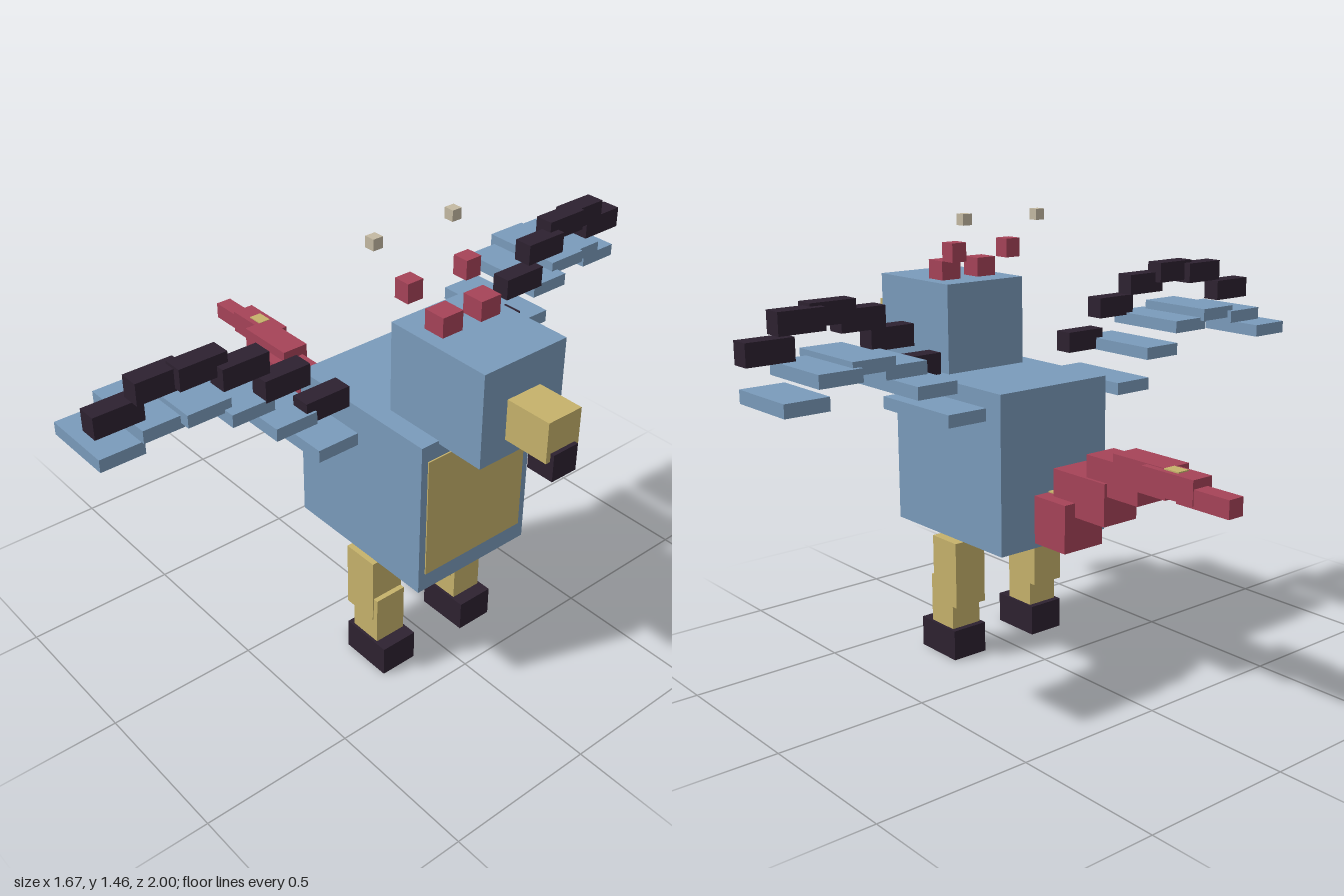
import * as THREE from 'three';

const mat = (name, color) => {
  const m = new THREE.MeshStandardMaterial({ color });
  m.name = name;
  return m;
};

export function createModel() {
  const blue = mat('feather blue', 0x7a9bbb);
  const gold = mat('gold', 0xc6b26b);
  const red = mat('red', 0xa64358);
  const dark = mat('dark plum', 0x2d2130);
  const bone = mat('bone', 0xc4b9a2);

  const model = new THREE.Group();
  model.name = 'bird';

  // Box given by its extents along each axis
  const box = (parent, name, material, [x0, x1], [y0, y1], [z0, z1]) => {
    const mesh = new THREE.Mesh(new THREE.BoxGeometry(x1 - x0, y1 - y0, z1 - z0), material);
    mesh.position.set((x0 + x1) / 2, (y0 + y1) / 2, (z0 + z1) / 2);
    mesh.name = name;
    parent.add(mesh);
    return mesh;
  };
  const group = (name) => {
    const g = new THREE.Group();
    g.name = name;
    model.add(g);
    return g;
  };

  // Body, facing +x
  box(model, 'body', blue, [-0.047, 0.502], [0.42, 0.938], [-0.217, 0.217]);
  box(model, 'belly', gold, [0.498, 0.506], [0.48, 0.883], [-0.193, 0.193]);

  // Head and beak
  const head = group('head');
  box(head, 'skull', blue, [0.295, 0.665], [0.928, 1.228], [-0.154, 0.154]);
  box(head, 'beak', gold, [0.665, 0.817], [0.987, 1.116], [-0.062, 0.062]);
  box(head, 'beakTip', dark, [0.738, 0.83], [0.928, 1.014], [-0.046, 0.046]);

  // Tail: tapering segments [centre x, centre y, centre z, length, thickness]
  const tail = group('tail');
  [
    [-0.07, 0.516, -0.004, 0.24, 0.157],
    [-0.205, 0.617, 0.027, 0.232, 0.136],
    [-0.34, 0.7, 0.027, 0.223, 0.114],
    [-0.472, 0.743, 0, 0.216, 0.095],
    [-0.605, 0.75, -0.031, 0.202, 0.076],
    [-0.739, 0.733, -0.038, 0.196, 0.056],
  ].forEach(([x, y, z, len, t], i) => {
    box(tail, 'tailSegment', red, [x - len / 2, x + len / 2], [y - t / 2, y + t / 2], [z - t / 2, z + t / 2]);
    if (i % 2 === 0) {
      const top = y + t / 2;
      box(tail, 'tailSpot', gold, [x - 0.028, x + 0.028], [top - 0.004, top + 0.004], [z - 0.021, z + 0.021]);
    }
  });

  // Paired parts, mirrored across z
  const boneY = [1.006, 1.113, 1.184, 1.218, 1.209, 1.141];
  const featherY = [0.885, 0.989, 1.066, 1.096, 1.079, 1.02];
  for (const s of [1, -1]) {
    const side = s > 0 ? 'right' : 'left';
    const zs = (a, b) => (s > 0 ? [a, b] : [-b, -a]);

    // Leg
    const leg = group(side + 'Leg');
    box(leg, 'thigh', gold, [0.181, 0.304], [0.183, 0.406], zs(0.108, 0.225));
    box(leg, 'shin', gold, [0.208, 0.321], [0.1, 0.266], zs(0.111, 0.221));
    box(leg, 'foot', dark, [0.188, 0.366], [0, 0.102], zs(0.103, 0.23));

    // Stepped crest rising behind the head
    const crest = group(side + 'Crest');
    box(crest, 'crestBase', red, [0.382, 0.455], [1.228, 1.29], zs(0.035, 0.109));
    box(crest, 'crestMiddle', red, [0.288, 0.342], [1.296, 1.357], zs(0.082, 0.137));
    box(crest, 'crestTip', bone, [0.194, 0.228], [1.421, 1.456], zs(0.13, 0.164));

    // Wing: arched dark arm with a feather slab under each segment
    const wing = group(side + 'Wing');
    for (let i = 0; i < 6; i++) {
      const z = 0.342 + i * 0.1167;
      const x = 0.215 - i * 0.0258;
      box(wing, 'wingArm', dark, [x - 0.031, x + 0.031],
        [boneY[i] - 0.034, boneY[i] + 0.034], zs(z - 0.076, z + 0.076));
      box(wing, 'feather', blue, [-0.047 - i * 0.0156, 0.29 - i * 0.0356],
        [featherY[i] - 0.02, featherY[i] + 0.02], zs(z - 0.07, z + 0.07));
    }
  }
  return model;
}
